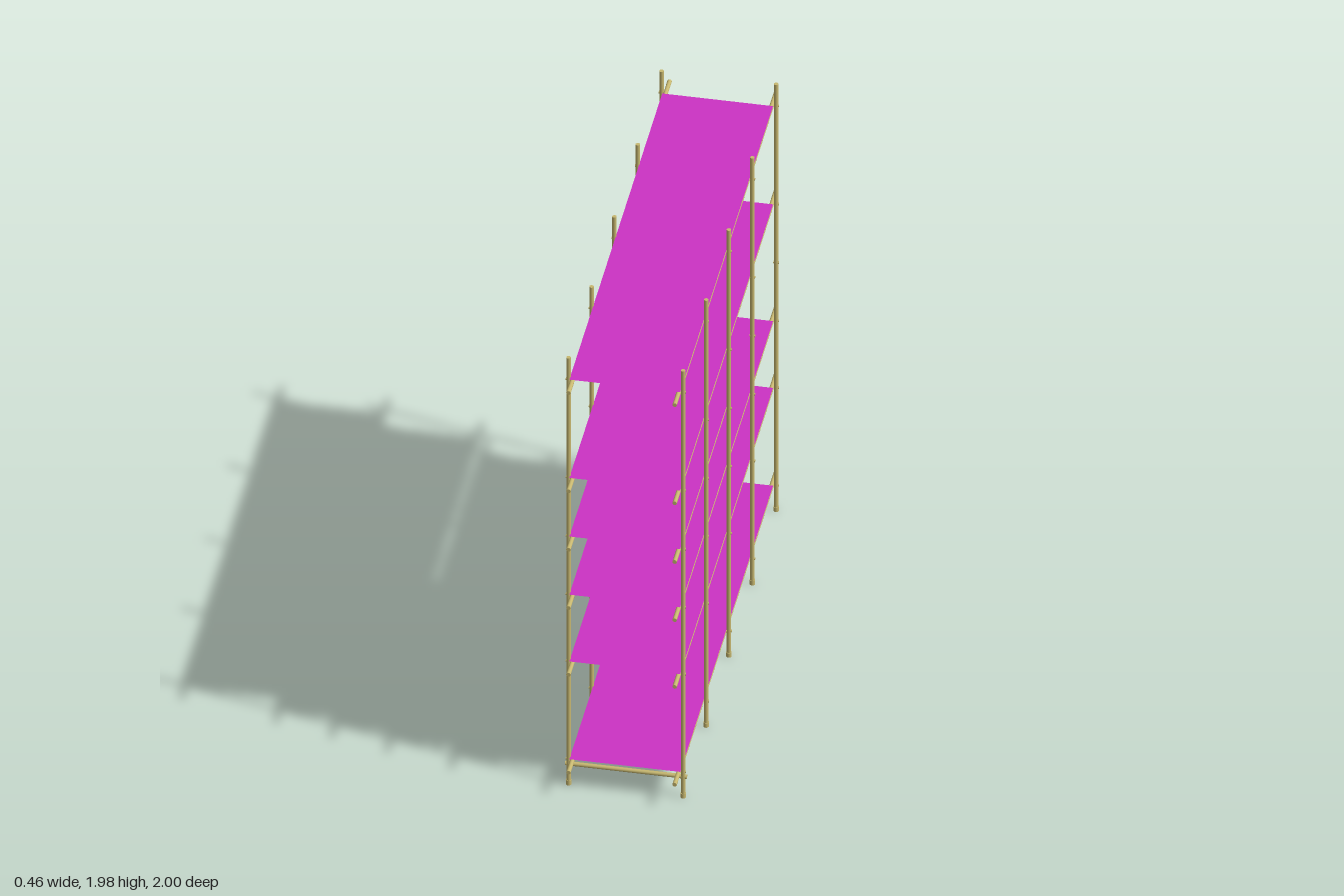
import * as THREE from 'three';

export function createModel() {
  const model = new THREE.Group();
  model.name = 'shelvingRack';
  const tubeMat = new THREE.MeshStandardMaterial({ color: 0xc8b870 });
  const sheetMat = new THREE.MeshStandardMaterial({ color: 0xcc33c4, side: THREE.DoubleSide });

  const R = 0.0085;
  const CENTER = -0.004; // middle of the rack in x
  const POST_X = 0.218, RAIL_X = 0.202;
  const postZ = [0.912, 0.458, 0.009, -0.454, -0.925];
  // rail height and rear end of each shelf
  const shelves = [
    { y: 0.118, back: -1 },
    { y: 0.572, back: -1 },
    { y: 0.882, back: -1 },
    { y: 1.152, back: -0.01, half: true },
    { y: 1.424, back: -1 },
    { y: 1.88, back: -1 },
  ];

  // round bar centred on a point, along the given axis
  function bar(name, radius, length, axis, x, y, z, sides = 16) {
    const mesh = new THREE.Mesh(new THREE.CylinderGeometry(radius, radius, length, sides), tubeMat);
    if (axis === 'x') mesh.rotation.z = Math.PI / 2;
    if (axis === 'z') mesh.rotation.x = Math.PI / 2;
    mesh.position.set(x, y, z);
    mesh.name = name;
    model.add(mesh);
  }

  for (const side of [-1, 1]) {
    const px = CENTER + side * POST_X;
    const rx = CENTER + side * RAIL_X;

    for (const z of postZ) {
      // uprights with slightly wider feet
      bar('post', R, 1.978, 'y', px, 0.991, z);
      bar('foot', 0.0105, 0.02, 'y', px, 0.01, z);
      // bolts where the rails cross the uprights
      for (const s of shelves) bar('bolt', 0.005, 0.021, 'x', px, s.y, z, 8);
    }

    // long rails on the inner side of the uprights
    for (const s of shelves) {
      bar('rail', R, 1 - s.back, 'z', rx, s.y, (1 + s.back) / 2);
    }
  }

  // thin shelf sheets resting on the rails
  for (const s of shelves) {
    const front = 0.93, back = s.half ? -0.03 : -0.905;
    const sheet = new THREE.Mesh(new THREE.PlaneGeometry(0.422, front - back), sheetMat);
    sheet.rotation.x = -Math.PI / 2;
    sheet.position.set(CENTER - 0.001, s.y + R + 0.0015, (front + back) / 2);
    sheet.name = 'shelfSheet';
    model.add(sheet);
  }

  // low cross bar joining the front uprights
  bar('crossBar', R, 0.463, 'x', CENTER, 0.094, 0.91);

  return model;
}
